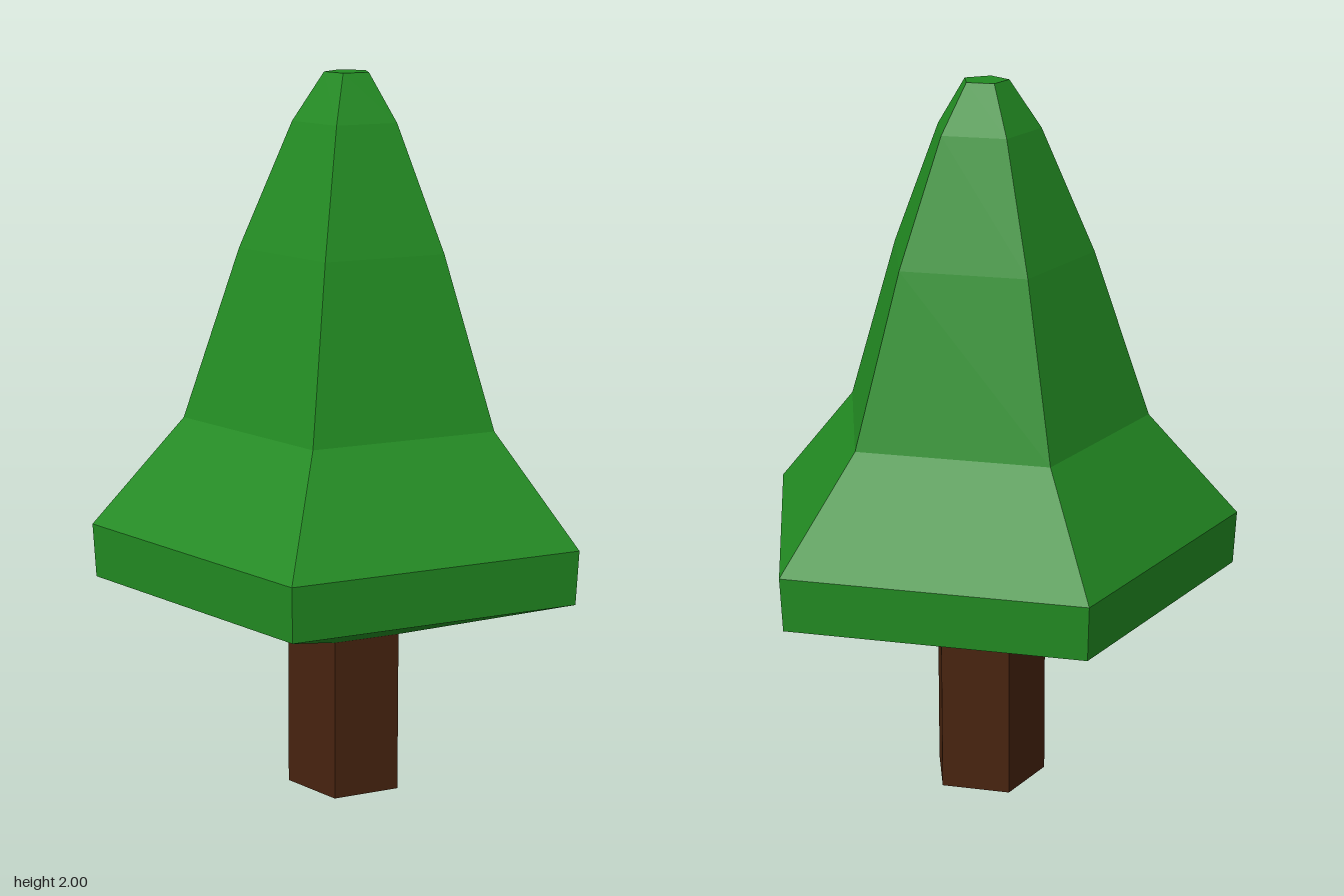
import * as THREE from 'three';

const CENTER_X = 0.06;
const PHASE = THREE.MathUtils.degToRad(-91.3); // one corner points almost exactly to -x

// Five-sided faceted solid from a [radius, height] profile, bottom to top
function pentagonSolid(name, profile, material) {
  const points = profile.map(([r, y]) => new THREE.Vector2(r, y));
  const geometry = new THREE.LatheGeometry(points, 5, PHASE).toNonIndexed();
  geometry.computeVertexNormals();
  const mesh = new THREE.Mesh(geometry, material);
  mesh.name = name;
  mesh.position.x = CENTER_X;
  return mesh;
}

export function createModel() {
  const leafGreen = new THREE.MeshStandardMaterial({ color: 0x228b22 });
  const barkBrown = new THREE.MeshStandardMaterial({ color: 0x47230f });
  leafGreen.name = 'leafGreen';
  barkBrown.name = 'barkBrown';
  leafGreen.flatShading = barkBrown.flatShading = true;

  const tree = new THREE.Group();
  tree.name = 'tree';

  // Straight trunk with a closed base
  tree.add(pentagonSolid('trunk', [[0, 0], [0.165, 0], [0.165, 0.455]], barkBrown));

  // Foliage: sloping underside, upright rim, flared skirt and tapering crown
  tree.add(pentagonSolid('foliage', [
    [0.165, 0.455],
    [0.697, 0.62],
    [0.705, 0.77],
    [0.45, 1.065],
    [0.295, 1.53],
    [0.15, 1.87],
    [0.064, 2],
    [0, 2],
  ], leafGreen));

  return tree;
}
